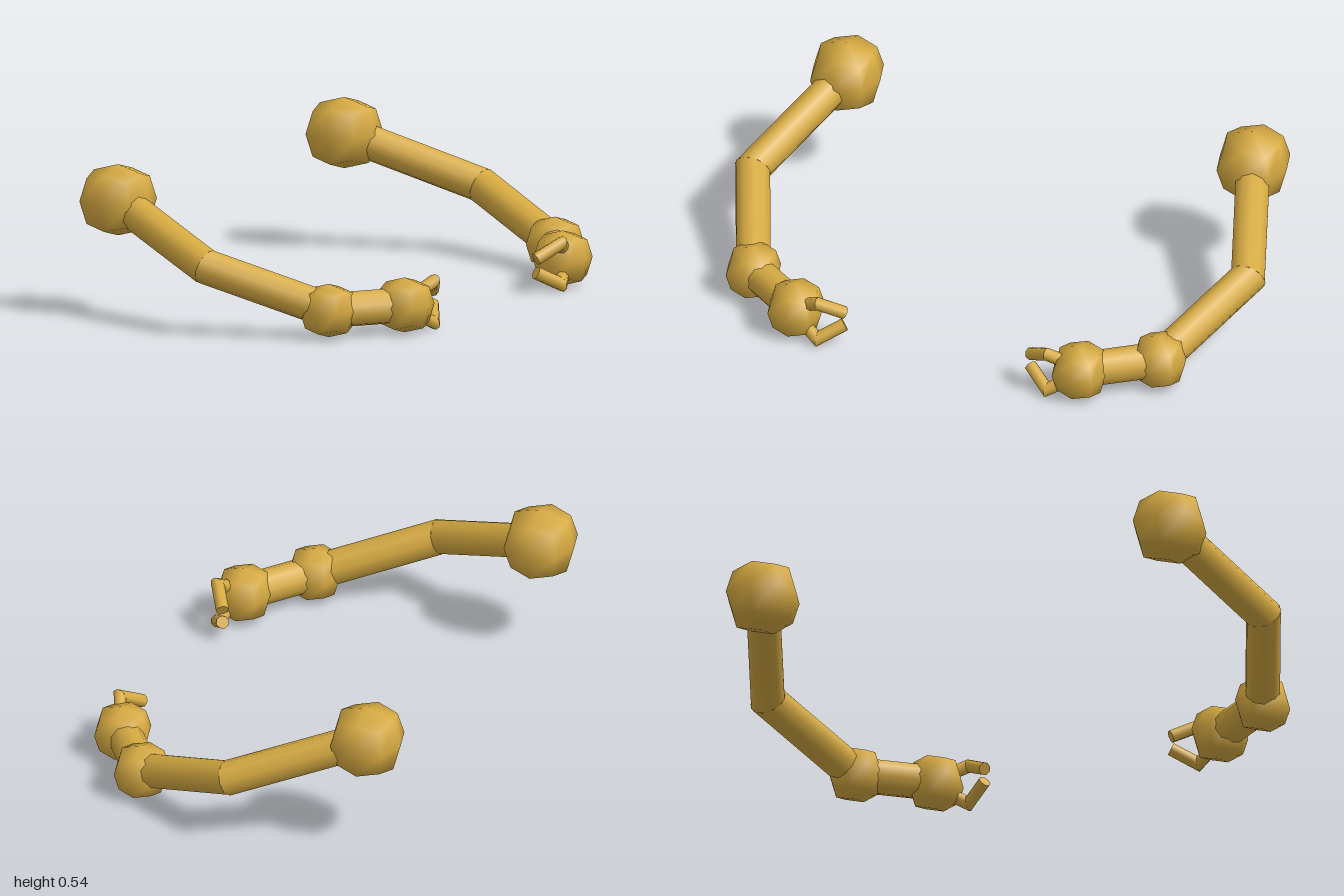
import * as THREE from 'three';
import { mergeVertices } from 'three/addons/utils/BufferGeometryUtils.js';

const gold = new THREE.MeshStandardMaterial({ color: 0xd6aa42 });
gold.name = 'gold';

function add(group, name, geometry) {
  const mesh = new THREE.Mesh(geometry, gold);
  mesh.name = name;
  group.add(mesh);
}

// Low-poly ball: a cube split 2 x 2 per face, rounded, with slightly flattened poles
function ball(radius, center) {
  let g = new THREE.BoxGeometry(2, 2, 2, 2, 2, 2);
  g.deleteAttribute('uv');
  g.deleteAttribute('normal');
  g = mergeVertices(g);
  const p = g.attributes.position;
  const v = new THREE.Vector3();
  for (let i = 0; i < p.count; i++) {
    v.fromBufferAttribute(p, i);
    const pole = v.lengthSq() < 1.5;
    v.setLength(radius * (pole ? 0.905 : 1)).add(center);
    p.setXYZ(i, v.x, v.y, v.z);
  }
  g.computeVertexNormals();
  return g;
}

// Round bar from a to b; optional plane normals mitre its ends
function rod(a, b, radius, sides, cutA, cutB) {
  const d = b.clone().sub(a);
  const length = d.length();
  d.normalize();
  const g = new THREE.CylinderGeometry(radius, radius, length, sides);
  g.applyQuaternion(new THREE.Quaternion().setFromUnitVectors(new THREE.Vector3(0, 1, 0), d));
  const mid = a.clone().add(b).multiplyScalar(0.5);
  g.translate(mid.x, mid.y, mid.z);
  const p = g.attributes.position;
  const v = new THREE.Vector3();
  for (let i = 0; i < p.count; i++) {
    v.fromBufferAttribute(p, i);
    const atB = v.clone().sub(mid).dot(d) > 0;
    const n = atB ? cutB : cutA;
    if (!n) continue;
    const t = n.dot(v.clone().sub(atB ? b : a)) / n.dot(d);
    v.addScaledVector(d, -t);
    p.setXYZ(i, v.x, v.y, v.z);
  }
  return g;
}

// Two bars joined by a mitred bend
function bentRod(group, name, a, b, c, radius, sides) {
  const cut = b.clone().sub(a).normalize().add(c.clone().sub(b).normalize()).normalize();
  add(group, name + 'Inner', rod(a, b, radius, sides, null, cut));
  add(group, name + 'Outer', rod(b, c, radius, sides, cut, null));
}

function makeArm(side) {
  const arm = new THREE.Group();
  const at = (x, y, z) => new THREE.Vector3(x, y, z * side);
  const shoulder = at(-0.5, 0.415, 0.765);
  const bend = at(-0.045, 0.247, 0.932);
  const elbow = at(0.355, 0.103, 0.765);
  const wrist = at(0.525, 0.103, 0.535);

  // Joints
  add(arm, 'shoulder', ball(0.139, shoulder));
  add(arm, 'elbow', ball(0.104, elbow));
  add(arm, 'wrist', ball(0.107, wrist));

  // Limbs
  bentRod(arm, 'upperArm', shoulder, bend, elbow, 0.062, 10);
  add(arm, 'forearm', rod(elbow, wrist, 0.062, 10));

  // Pincer fingers above and below the wrist axis
  for (const up of [1, -1]) {
    const y = (h) => 0.103 + up * h;
    bentRod(arm, up > 0 ? 'upperFinger' : 'lowerFinger',
      at(0.545, y(0.03), 0.51), at(0.58, y(0.072), 0.432), at(0.527, y(0.024), 0.35), 0.023, 8);
  }
  return arm;
}

export function createModel() {
  const model = new THREE.Group();
  model.name = 'armPair';
  for (const side of [1, -1]) {
    const arm = makeArm(side);
    arm.name = side > 0 ? 'frontArm' : 'backArm';
    model.add(arm);
  }
  return model;
}
